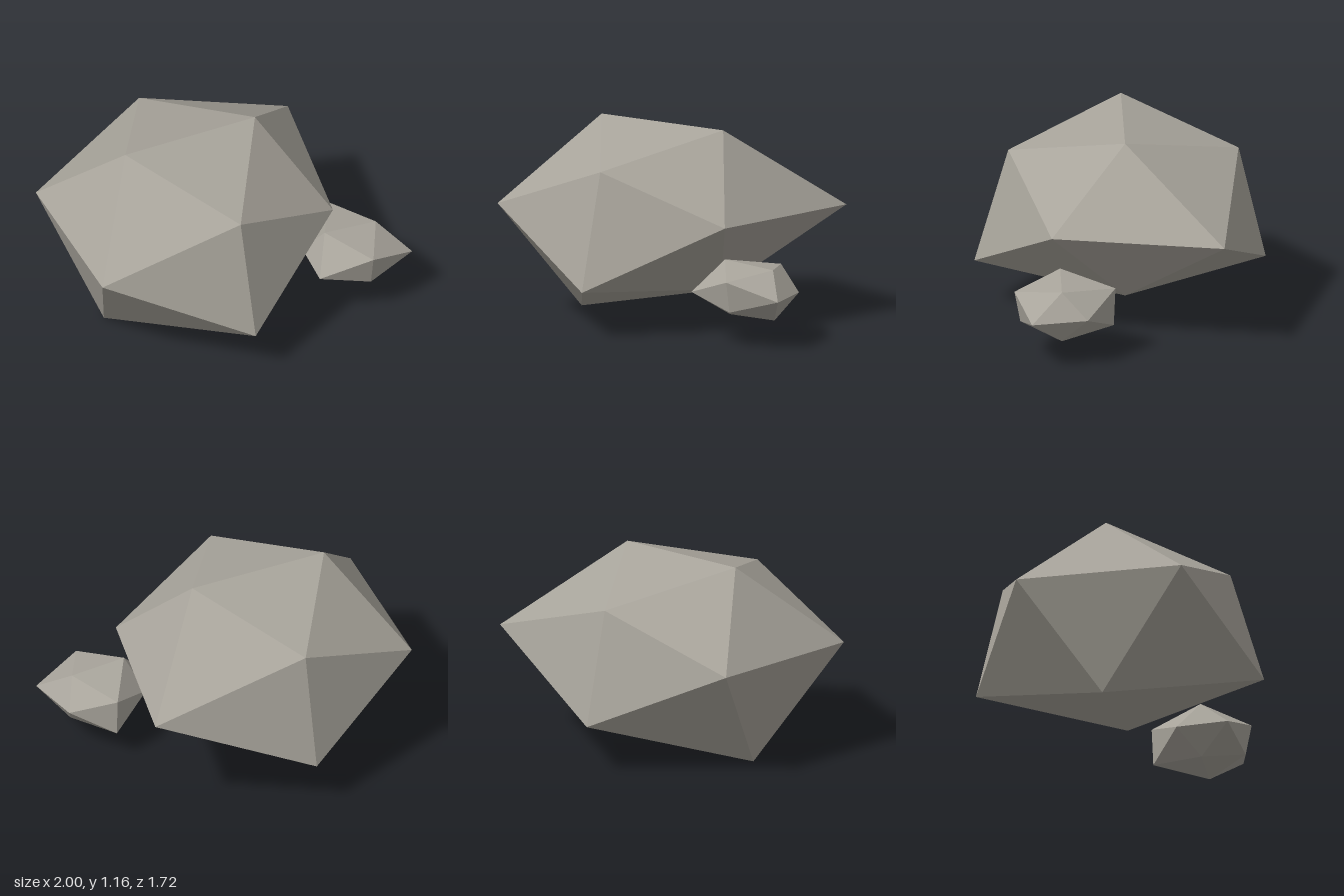
import * as THREE from 'three';

const T = (1 + Math.sqrt(5)) / 2;
// Directions of the twelve icosahedron corners
const CORNERS = [
  [-1, T, 0], [1, T, 0], [-1, -T, 0], [1, -T, 0],
  [0, 1, T], [0, -1, T], [0, 1, -T], [0, -1, -T],
  [T, 0, 1], [T, 0, -1], [-T, 0, 1], [-T, 0, -1],
].map((c) => new THREE.Vector3(...c).normalize());

// An icosahedron whose corners are pulled to the given places
function makeRock(name, places, material) {
  const geometry = new THREE.IcosahedronGeometry(1, 0);
  const position = geometry.attributes.position;
  const v = new THREE.Vector3();
  for (let i = 0; i < position.count; i++) {
    v.fromBufferAttribute(position, i);
    const corner = CORNERS.findIndex((c) => c.dot(v) > 0.99);
    position.setXYZ(i, ...places[corner]);
  }
  geometry.computeVertexNormals();
  const mesh = new THREE.Mesh(geometry, material);
  mesh.name = name;
  return mesh;
}

export function createModel() {
  const stone = new THREE.MeshStandardMaterial({ color: 0xa8a49b, flatShading: true });
  stone.name = 'warm grey stone';

  const group = new THREE.Group();
  group.name = 'rocks';

  // Corner order: top pair, bottom pair, front pair, back pair, left pair, right pair
  group.add(makeRock('boulder', [
    [-0.6, 1.165, -0.02], [0.25, 1.155, -0.02],
    [-0.74, 0, -0.02], [0.235, 0.2, -0.02],
    [-0.175, 0.97, 0.655], [-0.175, 0.28, 0.855],
    [-0.175, 0.97, -0.7], [-0.175, 0.29, -0.86],
    [0.545, 0.67, 0.42], [0.745, 0.67, -0.59],
    [-1, 0.67, 0.49], [-0.95, 0.67, -0.5],
  ], stone));

  group.add(makeRock('smallStone', [
    [0.515, 0.475, 0.37], [0.85, 0.445, 0.37],
    [0.55, 0.15, 0.37], [0.86, 0.145, 0.37],
    [0.7, 0.4, 0.645], [0.7, 0.215, 0.61],
    [0.7, 0.415, 0.05], [0.7, 0.185, 0.06],
    [1, 0.297, 0.55], [0.935, 0.297, 0.22],
    [0.395, 0.297, 0.55], [0.43, 0.297, 0.24],
  ], stone));

  return group;
}
